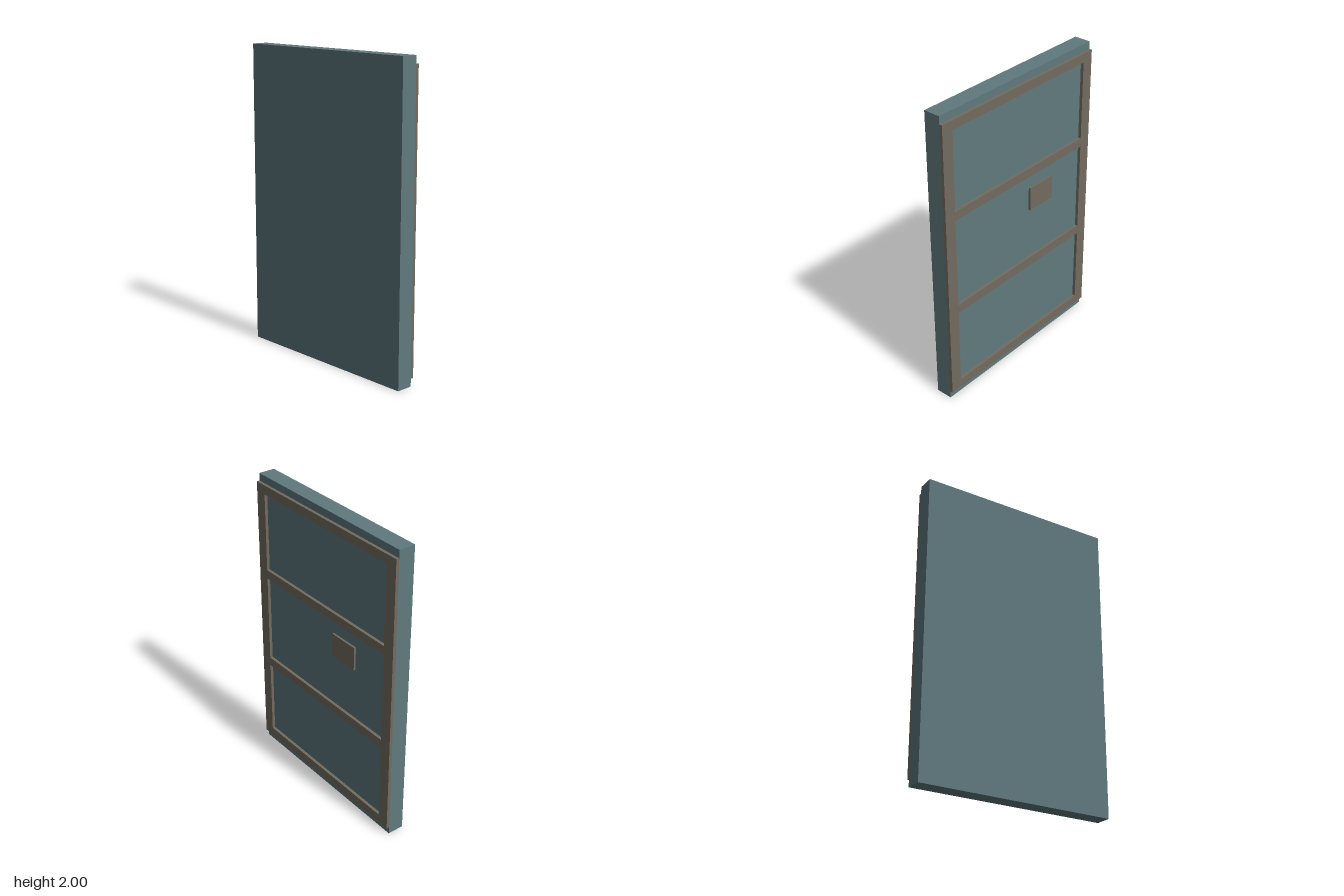
import * as THREE from 'three';

export function createModel() {
  const group = new THREE.Group();
  const slate = new THREE.MeshStandardMaterial({ color: 0x607a7e });
  slate.name = 'slate panel';
  const taupe = new THREE.MeshStandardMaterial({ color: 0x736b60 });
  taupe.name = 'taupe trim';

  const W = 1.33, BACK = -0.045, TRIM = 0.02;

  // Main slab
  const panel = new THREE.Mesh(new THREE.BoxGeometry(W, 2, 0.11), slate);
  panel.name = 'panel';
  panel.position.set(0, 1, BACK + 0.055);
  group.add(panel);

  // Raised frame on the back: one outline with three openings
  const rect = (path, x0, x1, y0, y1) => {
    path.moveTo(x0, y0);
    path.lineTo(x1, y0);
    path.lineTo(x1, y1);
    path.lineTo(x0, y1);
    path.closePath();
    return path;
  };
  const outline = rect(new THREE.Shape(), -W / 2, W / 2, 0.05, 1.95);
  const inner = W / 2 - 0.08;
  for (const [y0, y1] of [[0.11, 0.637], [0.697, 1.303], [1.363, 1.89]]) {
    outline.holes.push(rect(new THREE.Path(), -inner, inner, y0, y1));
  }
  const frame = new THREE.Mesh(
    new THREE.ExtrudeGeometry(outline, { depth: TRIM, bevelEnabled: false }), taupe);
  frame.name = 'backFrame';
  frame.position.z = BACK - TRIM;
  group.add(frame);

  // Small plate in the middle bay
  const plate = new THREE.Mesh(new THREE.BoxGeometry(0.213, 0.16, 0.014), taupe);
  plate.name = 'backPlate';
  plate.position.set(-0.2, 1.13, BACK - 0.007);
  group.add(plate);

  return group;
}
